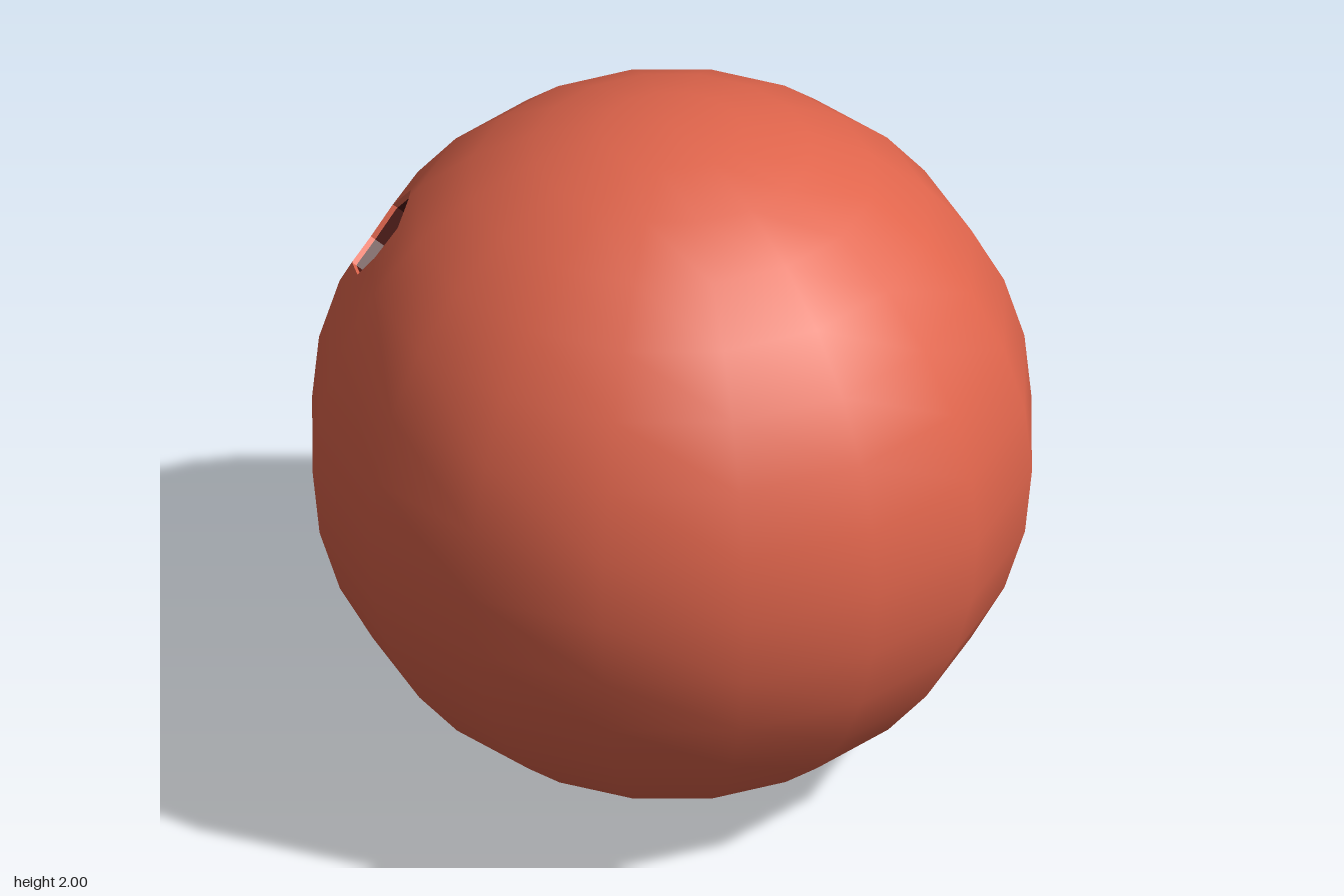
import * as THREE from 'three';

const SIDES = 8, LIP = 0.015, FLOOR = 0.58;

// Finger holes: direction from the ball's centre and radius
const HOLES = [
  { name: 'fingerHoleA', dir: [0, 0.56, -0.81], radius: 0.13 },
  { name: 'fingerHoleB', dir: [-0.57, 0.56, -0.565], radius: 0.14 },
  { name: 'thumbHole', dir: [-0.37, 0.2, -0.88], radius: 0.135 },
];

// Axis and side planes (pointing outwards) of an octagonal bore
function makeBore({ name, dir, radius }) {
  const axis = new THREE.Vector3(...dir).normalize();
  const u = new THREE.Vector3(0, 1, 0).cross(axis).normalize();
  const v = axis.clone().cross(u);
  const planes = [];
  for (let i = 0; i < SIDES; i++) {
    const t = ((i + 0.5) / SIDES) * Math.PI * 2;
    const normal = u.clone().multiplyScalar(Math.cos(t)).addScaledVector(v, Math.sin(t));
    planes.push(new THREE.Plane(normal, -radius * Math.cos(Math.PI / SIDES)));
  }
  return { name, axis, planes, rim: [], wall: [], floor: [] };
}

// Part of a polygon on one side of a plane (sign 1: outside, -1: inside)
function clip(poly, plane, sign) {
  const out = [];
  poly.forEach((a, i) => {
    const b = poly[(i + 1) % poly.length];
    const da = sign * plane.distanceToPoint(a), db = sign * plane.distanceToPoint(b);
    if (da >= 0) out.push(a);
    if ((da > 0 && db < 0) || (da < 0 && db > 0)) out.push(a.clone().lerp(b, da / (da - db)));
  });
  return out.length > 2 ? out : [];
}

// Cuts a bore out of the polygons; the cut-out pieces give its walls and floor
function drill(polys, bore) {
  const { axis, planes } = bore;
  const kept = [];
  for (const poly of polys) {
    if (poly.every(p => p.dot(axis) < 0.5)) { kept.push(poly); continue; }
    const outside = [];
    let plug = poly;
    for (const plane of planes) {
      if (!plug.length) break;
      const piece = clip(plug, plane, 1);
      if (piece.length) outside.push(piece);
      plug = clip(plug, plane, -1);
    }
    if (!plug.length) { kept.push(poly); continue; }
    kept.push(...outside);

    const lower = p => p.clone().addScaledVector(axis, -LIP);
    const toFloor = p => p.clone().addScaledVector(axis, FLOOR - p.dot(axis));
    bore.floor.push(plug.map(toFloor));
    plug.forEach((a, i) => {
      const b = plug[(i + 1) % plug.length];
      const onSide = planes.some(s =>
        Math.abs(s.distanceToPoint(a)) < 1e-6 && Math.abs(s.distanceToPoint(b)) < 1e-6);
      if (!onSide) return;
      bore.rim.push([a, b, lower(b), lower(a)]);
      bore.wall.push([lower(a), lower(b), toFloor(b), toFloor(a)]);
    });
  }
  return kept;
}

// Fans polygons into triangles; round surfaces take normals from the centre
function toMesh(name, polys, material, round = false) {
  const points = [];
  for (const p of polys)
    for (let i = 1; i < p.length - 1; i++) points.push(p[0], p[i], p[i + 1]);
  const geometry = new THREE.BufferGeometry().setFromPoints(points);
  if (round) {
    const normals = points.flatMap(p => p.clone().normalize().toArray());
    geometry.setAttribute('normal', new THREE.Float32BufferAttribute(normals, 3));
  } else geometry.computeVertexNormals();
  const mesh = new THREE.Mesh(geometry, material);
  mesh.name = name;
  return mesh;
}

export function createModel() {
  const group = new THREE.Group();
  group.name = 'bowlingBall';
  const shellColor = new THREE.MeshStandardMaterial({ color: 0xe0654c });
  const boreColor = new THREE.MeshStandardMaterial({ color: 0x4a1510 });

  // Ball
  const pos = new THREE.SphereGeometry(1, 16, 16).toNonIndexed().attributes.position;
  let polys = [];
  for (let i = 0; i < pos.count; i += 3)
    polys.push([0, 1, 2].map(k => new THREE.Vector3().fromBufferAttribute(pos, i + k)));

  // Holes
  const bores = HOLES.map(makeBore);
  for (const bore of bores) polys = drill(polys, bore);
  group.add(toMesh('ball', polys, shellColor, true));
  for (const bore of bores) {
    const hole = new THREE.Group();
    hole.name = bore.name;
    hole.add(
      toMesh('rim', bore.rim, shellColor),
      toMesh('wall', bore.wall, boreColor),
      toMesh('floor', bore.floor, boreColor),
    );
    group.add(hole);
  }

  // Rest on the ground
  group.children.forEach(part => { part.position.y = 1; });
  return group;
}
